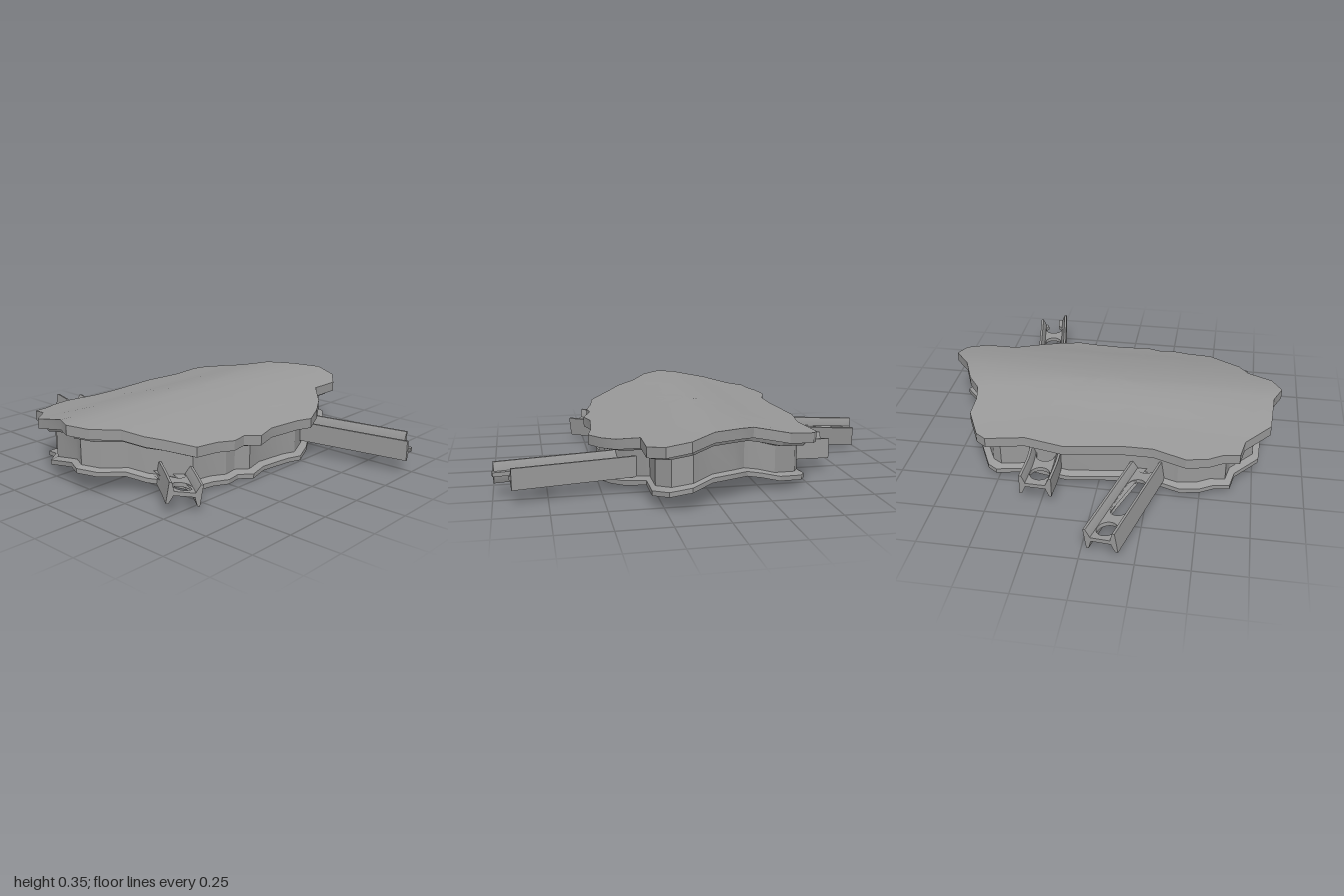
import * as THREE from 'three';
import { toCreasedNormals } from 'three/addons/utils/BufferGeometryUtils.js';

const material = new THREE.MeshStandardMaterial({ color: 0x999999 });

// Ragged outline of the deck, as (x, z) pairs
const outline = [
  [.15, -.88], [.26, -.86], [.33, -.77], [.33, -.6], [.43, -.49], [.49, -.39], [.54, -.27], [.52, -.18],
  [.505, .01], [.53, .12], [.49, .2], [.5, .28], [.47, .37], [.455, .49], [.34, .59], [.28, .65],
  [.18, .7], [.1, .82], [0, .87], [-.09, .83], [-.28, .82], [-.4, .7], [-.49, .68], [-.5, .6],
  [-.535, .53], [-.55, .43], [-.5, .27], [-.5, .13], [-.535, -.16], [-.5, -.35], [-.53, -.54], [-.5, -.59],
  [-.36, -.66], [-.26, -.655], [-.18, -.67], [-.11, -.73], [.03, -.79],
];

// Height of the ridged top surface across x
const ridge = [
  [-.56, .262], [-.4, .287], [-.3, .303], [-.2, .328], [-.12, .343], [-.04, .352],
  [.05, .346], [.15, .332], [.3, .3], [.42, .264], [.56, .23],
];
function topHeight(x) {
  let i = 0;
  while (i < ridge.length - 2 && x > ridge[i + 1][0]) i++;
  const [a, b] = [ridge[i], ridge[i + 1]];
  return THREE.MathUtils.mapLinear(x, a[0], b[0], a[1], b[1]);
}

// Deck: rings that run from the crown, over the rim, wall and lip, to the shallow hollow below
function bodyGeometry() {
  const rings = [];
  const inset = (i, depth, t = 1) => rings.push({ sx: t * (1 - i / .54), sz: t * (1 - i / .88), depth });
  const steps = 9;
  for (let k = 0; k <= steps; k++) inset(0, 0, k / steps);
  [[0, .05], [.035, .054], [.045, .074], [.08, .08], [.08, .212],
    [.048, .222], [.048, .245], [.09, .245], [.1, .205]].forEach(([i, d]) => inset(i, d));
  for (let k = steps - 1; k >= 0; k--) inset(.1, .205, k / steps);

  const n = outline.length, positions = [], index = [];
  rings.forEach(({ sx, sz, depth }, r) => {
    outline.forEach(([x, z], j) => {
      positions.push(x * sx, topHeight(x * sx) - depth, z * sz);
      if (r === 0) return;
      const a = (r - 1) * n + j, a2 = (r - 1) * n + (j + 1) % n;
      const b = a + n, b2 = a2 + n;
      if (r > 1) index.push(a, a2, b);
      if (r < rings.length - 1) index.push(a2, b2, b);
    });
  });
  const g = new THREE.BufferGeometry();
  g.setAttribute('position', new THREE.Float32BufferAttribute(positions, 3));
  g.setIndex(index);
  return toCreasedNormals(g, .4);
}

// Rounded slot (or circle when s0 equals s1) along a girder
function slotPath(s0, s1, r) {
  const p = new THREE.Path();
  p.absarc(s1, 0, r, -Math.PI / 2, Math.PI / 2, false);
  p.absarc(s0, 0, r, Math.PI / 2, Math.PI * 1.5, false);
  return p;
}

// H-section girder with a pierced web, bent along a path on the ground plan
function girder(name, points, { y, roll, firstHole, broken }) {
  const group = new THREE.Group();
  group.name = name;
  const curve = new THREE.CatmullRomCurve3(points.map(([x, z]) => new THREE.Vector3(x, 0, z)));
  curve.arcLengthDivisions = 400;
  const L = curve.getLength();

  // place() gives (distance along, sideways, up) for each vertex
  const bend = (geometry, place) => {
    const pos = geometry.attributes.position;
    for (let i = 0; i < pos.count; i++) {
      const [s, side, up] = place(pos.getX(i), pos.getY(i), pos.getZ(i));
      const v = side * Math.cos(roll) + up * Math.sin(roll);
      const h = up * Math.cos(roll) - side * Math.sin(roll);
      const u = THREE.MathUtils.clamp(s / L, 0, 1);
      const p = curve.getPointAt(u), t = curve.getTangentAt(u);
      pos.setXYZ(i, p.x + v * t.z, y + h, p.z - v * t.x);
    }
    return toCreasedNormals(geometry, .5);
  };
  const add = (part, geometry) => {
    const mesh = new THREE.Mesh(geometry, material);
    mesh.name = part;
    group.add(mesh);
  };

  // Web, with one end torn through its last hole on the broken girder
  const half = .057, steps = 24, end = broken ? L - .07 : L;
  const shape = new THREE.Shape();
  shape.moveTo(0, -half);
  for (let k = 1; k <= steps; k++) shape.lineTo(end * k / steps, -half);
  if (broken) {
    const c = L - .125;
    shape.lineTo(L, -half);
    shape.lineTo(L, -.03);
    shape.lineTo(L - .06, -.028);
    for (let k = 0; k <= 14; k++) {
      const a = -.6 - k / 14 * (Math.PI * 2 - 1.3);
      shape.lineTo(c + .05 * Math.cos(a), .05 * Math.sin(a));
    }
    shape.lineTo(L - .06, .04);
    shape.lineTo(L - .065, half);
  }
  for (let k = steps; k >= 0; k--) shape.lineTo(end * k / steps, half);
  for (let k = 0; k < 4; k++) {
    const s = firstHole + .49 * k;
    if (!(broken && k === 3)) shape.holes.push(slotPath(s, s, .048));
    if (k < 3) shape.holes.push(slotPath(s + .145, s + .34, .045));
  }
  const web = new THREE.ExtrudeGeometry(shape, { depth: .02, bevelEnabled: false, curveSegments: 10 });
  add('girderWeb', bend(web, (a, b, c) => [a, b, c - .01]));

  // Tapered flanges on both sides
  for (const side of [-1, 1]) {
    const profile = new THREE.Shape([
      [.078, -.051], [.078, .051], [.066, .051], [.05, .014], [.05, -.014], [.066, -.051],
    ].map(([v, h]) => new THREE.Vector2(v * side, h)));
    const length = broken ? (side > 0 ? L - .065 : L - .01) : L;
    const g = new THREE.ExtrudeGeometry(profile, { depth: length, steps: 36, bevelEnabled: false });
    add(side > 0 ? 'backFlange' : 'frontFlange', bend(g, (a, b, c) => [c, a, b]));
  }
  return group;
}

export function createModel() {
  const model = new THREE.Group();
  model.name = 'wreckedDeckSection';

  const body = new THREE.Mesh(bodyGeometry(), material);
  body.name = 'hollowDeck';
  model.add(body);

  model.add(girder('rearGirder',
    [[-.675, -.265], [-.5, -.26], [-.3, -.285], [.1, -.36], [.45, -.425], [.99, -.523]],
    { y: .123, roll: 0, firstHole: .085, broken: true }));
  model.add(girder('frontGirder',
    [[-.973, .095], [-.5, .224], [0, .362], [.2, .433], [.38, .543], [.53, .648]],
    { y: .095, roll: .17, firstHole: .075, broken: false }));
  return model;
}
